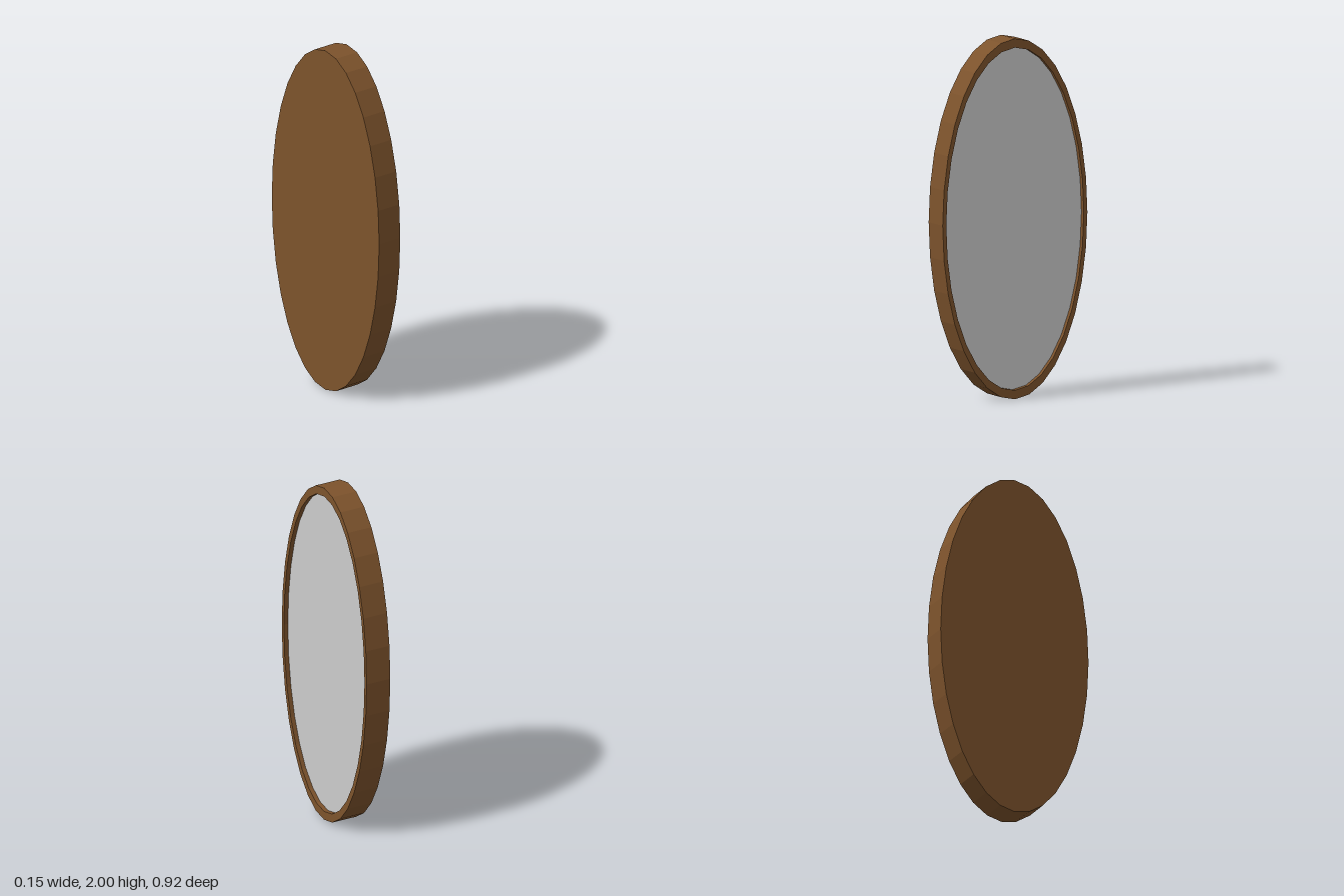
import * as THREE from 'three';

const SIDES = 32;
const HALF_DEPTH = 0.075; // along x
const HALF_WIDTH = 0.46;  // along z
const INNER = 0.95;       // opening relative to the outer oval
const RECESS = 0.025;     // glass sits behind the rim

export function createModel() {
  const group = new THREE.Group();
  group.name = 'ovalMirror';

  // Frame: closed back, outer wall, rim and inner lip turned around the x axis
  const profile = [
    [0, -HALF_DEPTH],
    [1, -HALF_DEPTH],
    [1, HALF_DEPTH],
    [INNER, HALF_DEPTH],
    [INNER, HALF_DEPTH - RECESS],
  ].map(([r, h]) => new THREE.Vector2(r, h));
  const frameGeometry = new THREE.LatheGeometry(profile, SIDES)
    .rotateZ(-Math.PI / 2)
    .scale(1, 1, HALF_WIDTH);
  const frame = new THREE.Mesh(
    frameGeometry,
    new THREE.MeshStandardMaterial({ color: 0x7d532c, flatShading: true })
  );
  frame.name = 'frame';

  // Glass: flat oval facing +x, inside the lip
  const glassGeometry = new THREE.CircleGeometry(INNER, SIDES)
    .rotateY(Math.PI / 2)
    .scale(1, 1, HALF_WIDTH);
  const glass = new THREE.Mesh(
    glassGeometry,
    new THREE.MeshStandardMaterial({ color: 0xcccccc, flatShading: true })
  );
  glass.name = 'mirrorGlass';
  glass.position.x = HALF_DEPTH - RECESS;

  group.add(frame, glass);
  for (const part of group.children) part.position.y = 1;
  return group;
}
